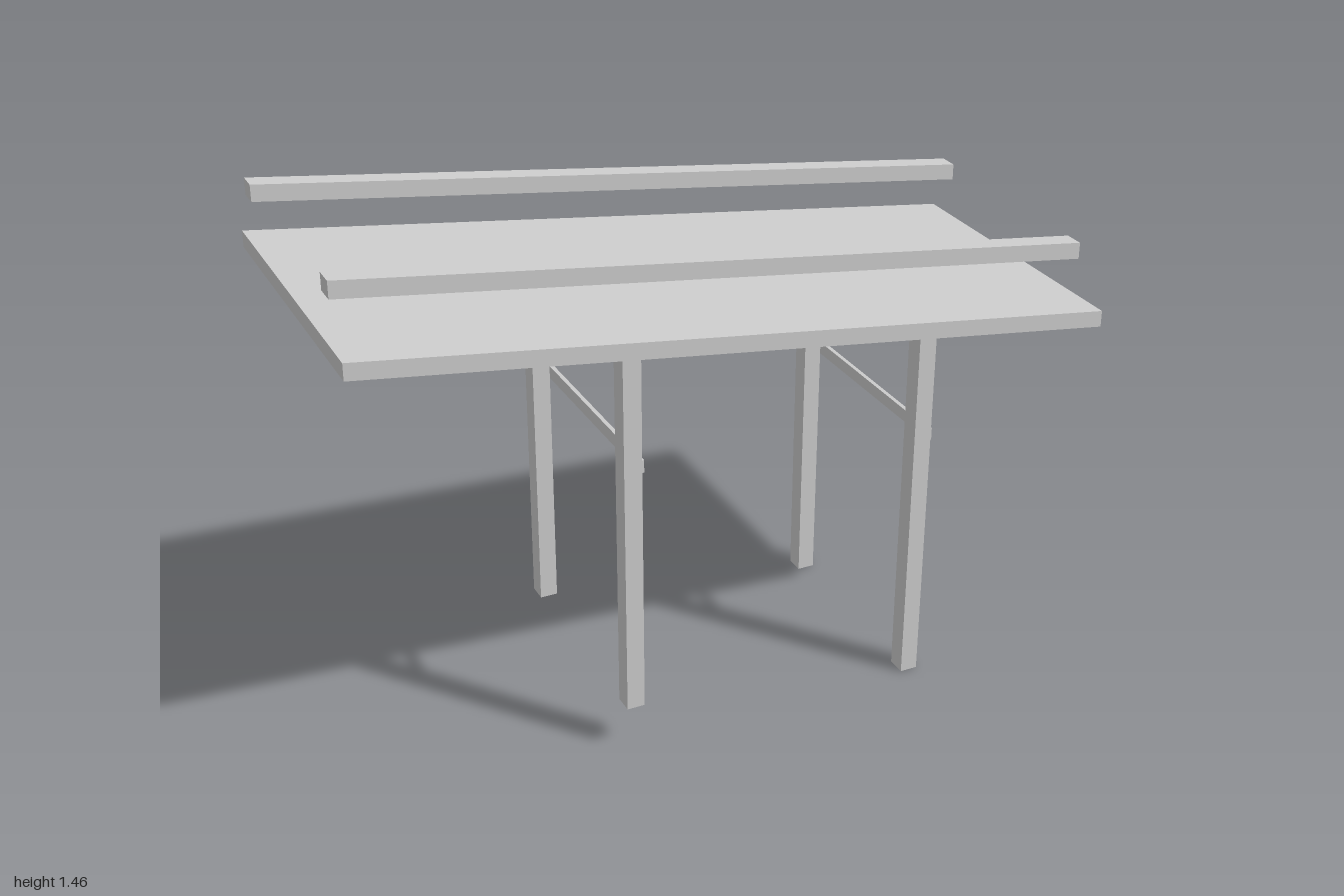
import * as THREE from 'three';

const SLOPE = -0.1365;
const material = new THREE.MeshStandardMaterial({ color: 0xcccccc, flatShading: true });

// Bar with a four-sided side profile; bottom and top edges may each be sloped
function bar(name, [x0, x1], [z0, z1], bottom, top, bottomSlope = 0, topSlope = 0) {
  const run = x1 - x0;
  const profile = new THREE.Shape([
    new THREE.Vector2(x0, bottom),
    new THREE.Vector2(x1, bottom + bottomSlope * run),
    new THREE.Vector2(x1, top + topSlope * run),
    new THREE.Vector2(x0, top),
  ]);
  const geometry = new THREE.ExtrudeGeometry(profile, { depth: z1 - z0, bevelEnabled: false });
  geometry.translate(0, 0, z0);
  const mesh = new THREE.Mesh(geometry, material);
  mesh.name = name;
  return mesh;
}

export function createModel() {
  const model = new THREE.Group();
  model.name = 'slopedTable';

  // Sloping deck
  const deckBottom = 1.249;
  model.add(bar('deck', [-1, 1], [-0.41, 0.41], deckBottom, 1.293, SLOPE, SLOPE));

  // Handrails floating above the deck
  model.add(bar('frontRail', [-1, 0.96], [0.291, 0.344], 1.415, 1.459, SLOPE, SLOPE));
  model.add(bar('backRail', [-1, 0.973], [-0.33, -0.278], 1.415, 1.459, SLOPE, SLOPE));

  // Two leg pairs, each with a cross brace on its +x face
  const pairs = [
    { side: 'right', x: [-0.31, -0.262], foot: 0.125, brace: [0.798, 0.833] },
    { side: 'left', x: [0.508, 0.556], foot: 0, brace: [0.7, 0.734] },
  ];
  for (const { side, x, foot, brace } of pairs) {
    const top = deckBottom + SLOPE * (x[0] + 1);
    model.add(bar(side + 'FrontLeg', x, [0.276, 0.328], foot, top, 0, SLOPE));
    model.add(bar(side + 'BackLeg', x, [-0.312, -0.26], foot, top, 0, SLOPE));
    model.add(bar(side + 'Brace', [x[1], x[1] + 0.011], [-0.302, 0.315], ...brace));
  }
  return model;
}
